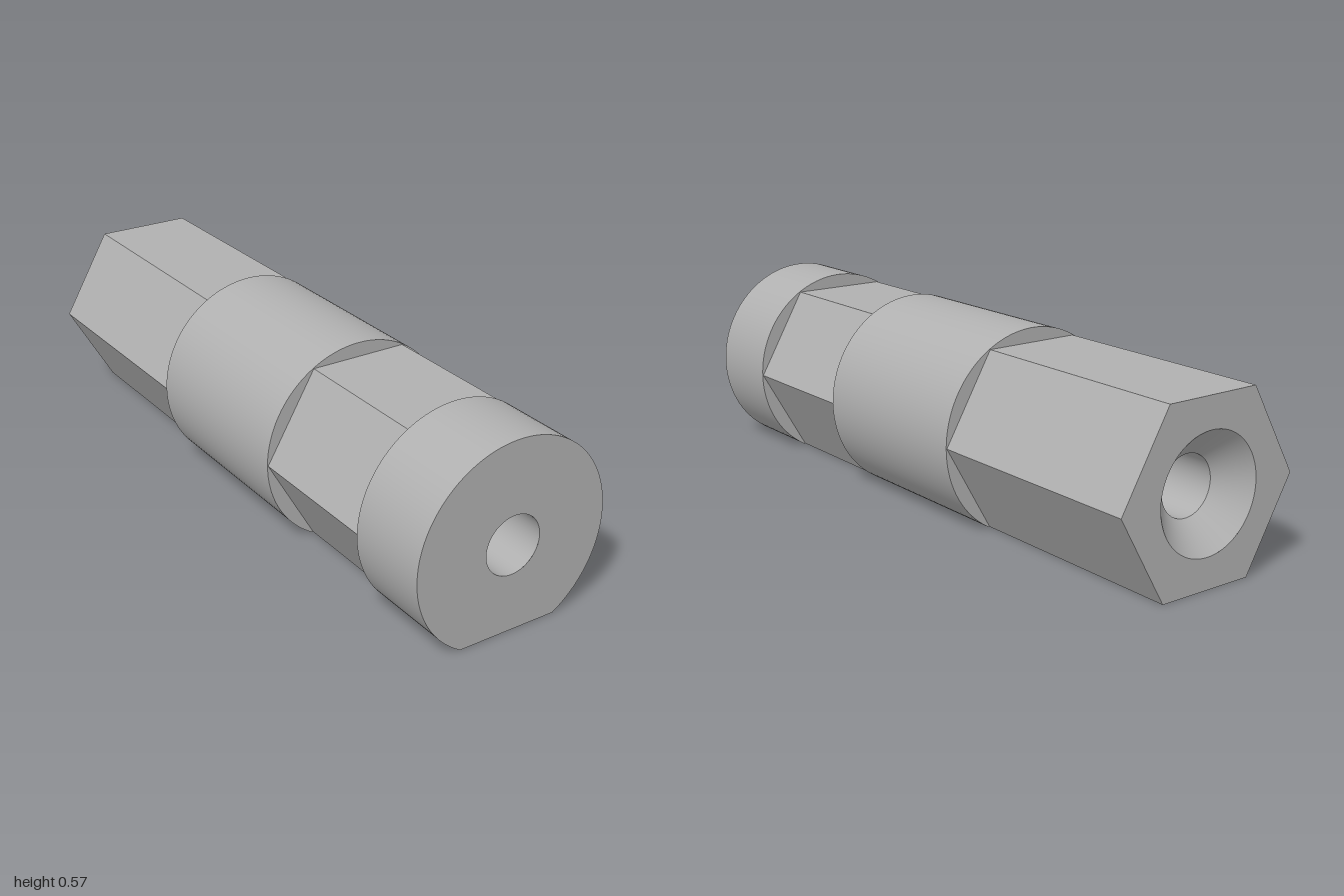
import * as THREE from 'three';

const APOTHEM = 0.263;                    // half the distance across the hexagon flats
const HEX_R = APOTHEM / Math.cos(Math.PI / 6);
const ROUND_R = 0.306;
const BORE_R = 0.088;
const SINK_R = 0.171;
const SINK_DEPTH = SINK_R - BORE_R;       // 45 degree countersink
const SEGMENTS = 96;
const CUT = Math.acos(APOTHEM / ROUND_R); // half angle of the flat cut, from straight down

export function createModel() {
  const group = new THREE.Group();
  group.name = 'standoff';
  const body = new THREE.Group();
  body.name = 'body';
  body.position.y = APOTHEM;
  group.add(body);
  const steel = new THREE.MeshStandardMaterial({ color: 0xb0b0b0 });
  steel.name = 'grey steel';

  const add = (name, geometry, z = 0) => {
    const mesh = new THREE.Mesh(geometry, steel);
    mesh.name = name;
    mesh.position.z = z;
    body.add(mesh);
    return mesh;
  };

  // Hexagon corners, starting bottom right and running anticlockwise
  const hexPoints = Array.from({ length: 6 }, (_, i) => {
    const a = -Math.PI / 3 + i * Math.PI / 3;
    return new THREE.Vector2(HEX_R * Math.cos(a), HEX_R * Math.sin(a));
  });
  const roundShape = () => new THREE.Shape()
    .absarc(0, 0, ROUND_R, -Math.PI / 2 + CUT, Math.PI * 1.5 - CUT, false);
  const withHole = (shape, r) => {
    shape.holes.push(new THREE.Path().absarc(0, 0, r, 0, Math.PI * 2, true));
    return shape;
  };
  // Flat face across the axis, turned towards +z or -z
  const face = (name, shape, z, toFront) => {
    const mesh = add(name, new THREE.ShapeGeometry(shape, SEGMENTS), z);
    if (!toFront) mesh.rotation.y = Math.PI;
  };

  // Round section: curved wall plus the flat underneath
  const roundSection = (name, z0, z1) => {
    const length = z1 - z0, mid = (z0 + z1) / 2;
    add(name, new THREE.CylinderGeometry(ROUND_R, ROUND_R, length, SEGMENTS, 1, true,
      CUT, Math.PI * 2 - 2 * CUT).rotateX(Math.PI / 2), mid);
    add(name + 'Flat', new THREE.PlaneGeometry(2 * ROUND_R * Math.sin(CUT), length)
      .rotateX(Math.PI / 2).translate(0, -APOTHEM, 0), mid);
  };

  // Hexagonal section: six flat sides
  const hexSection = (name, z0, z1) => {
    const geometry = new THREE.CylinderGeometry(HEX_R, HEX_R, z1 - z0, 6, 1, true, Math.PI / 6)
      .rotateX(Math.PI / 2).toNonIndexed();
    geometry.computeVertexNormals();
    add(name, geometry, (z0 + z1) / 2);
  };

  // Shoulder: the part of a round section's end that stands proud of the hexagon
  const shoulder = (name, z, toFront) => {
    const shape = roundShape();
    [...hexPoints].reverse().forEach(p => shape.lineTo(p.x, p.y));
    face(name, shape, z, toFront);
  };

  roundSection('frontCollar', 0.743, 1);
  hexSection('frontHexagon', 0.306, 0.743);
  roundSection('middleCollar', -0.287, 0.306);
  hexSection('rearHexagon', -1, -0.287);

  shoulder('frontCollarShoulder', 0.743, false);
  shoulder('middleCollarFrontShoulder', 0.306, true);
  shoulder('middleCollarRearShoulder', -0.287, false);

  // End faces with their openings
  face('frontEnd', withHole(roundShape(), BORE_R), 1, true);
  face('rearEnd', withHole(new THREE.Shape(hexPoints), SINK_R), -1, false);

  // Through bore and rear countersink, facing inwards
  const inner = (name, ...points) => add(name, new THREE.LatheGeometry(
    points.map(([r, z]) => new THREE.Vector2(r, z)), SEGMENTS).rotateX(Math.PI / 2));
  inner('bore', [BORE_R, 1], [BORE_R, -1 + SINK_DEPTH]);
  inner('countersink', [BORE_R, -1 + SINK_DEPTH], [SINK_R, -1]);

  return group;
}
